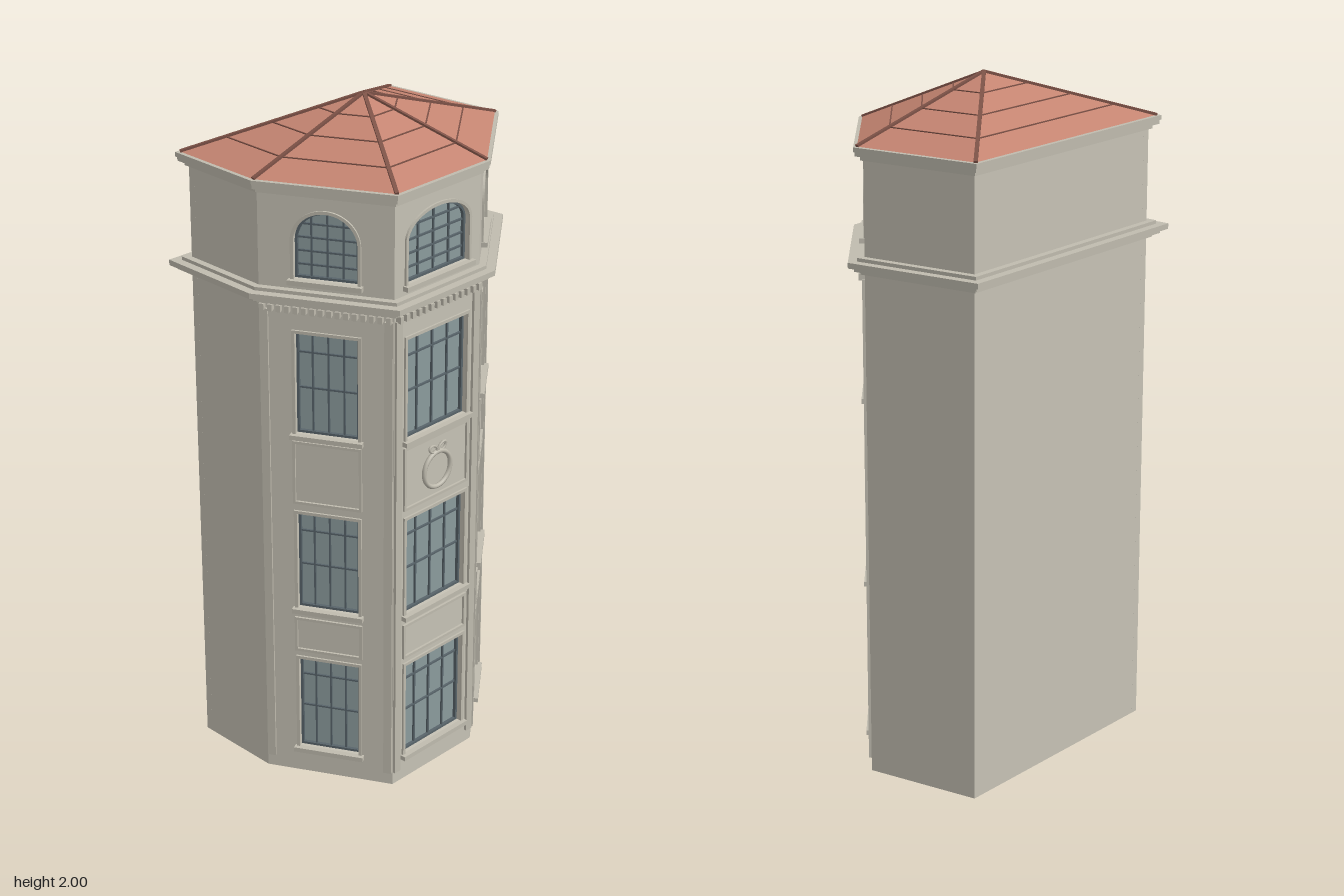
import * as THREE from 'three';

const mat = (name, color, side = THREE.FrontSide) => {
  const m = new THREE.MeshStandardMaterial({ color, side });
  m.name = name;
  return m;
};

// Wall footprint [x, z], walked left to right as seen from outside
const PLAN = [[-0.238, 0.31], [0.104, 0.31], [0.407, 0.074], [0.368, -0.274], [-0.402, -0.306], [-0.413, -0.03]];
const N = PLAN.length;
const APEX = new THREE.Vector3(-0.025, 2, -0.005);

const edgeNormal = (i) => {
  const [ax, az] = PLAN[i], [bx, bz] = PLAN[(i + 1) % N];
  const l = Math.hypot(bx - ax, bz - az);
  return [-(bz - az) / l, (bx - ax) / l];
};

// Footprint grown outward by d with mitred corners
const grow = (d) => PLAN.map(([x, z], i) => {
  const a = edgeNormal((i + N - 1) % N), b = edgeNormal(i);
  const k = d / (1 + a[0] * b[0] + a[1] * b[1]);
  return [x + (a[0] + b[0]) * k, z + (a[1] + b[1]) * k];
});

// Rectangle with an optional elliptical arch on top
function outline(w, y0, y1, rise = 0, pad = 0, Type = THREE.Shape) {
  const h = w / 2 + pad, s = new Type();
  s.moveTo(-h, y0 - pad);
  s.lineTo(h, y0 - pad);
  if (rise) {
    s.lineTo(h, y1 - rise);
    s.absellipse(0, y1 - rise, h, rise + pad, 0, Math.PI, false);
  } else {
    s.lineTo(h, y1 + pad);
    s.lineTo(-h, y1 + pad);
  }
  s.closePath();
  return s;
}

export function createModel() {
  const wall = mat('stone wall', 0xc6c2b5);
  const trim = mat('stone trim', 0xbfbbae);
  const glass = mat('window glass', 0x8b9b9d);
  const bars = mat('window bars', 0x58646a);
  const tile = mat('roof tile', 0xc48471, THREE.DoubleSide);
  const ridge = mat('roof ridge', 0x7d5247);

  const model = new THREE.Group();
  model.name = 'cornerTower';

  const add = (parent, name, geo, m, x = 0, y = 0, z = 0) => {
    const mesh = new THREE.Mesh(geo, m);
    mesh.name = name;
    mesh.position.set(x, y, z);
    parent.add(mesh);
    return mesh;
  };
  const box = (parent, name, w, h, d, m, x, y, z) => add(parent, name, new THREE.BoxGeometry(w, h, d), m, x, y, z);
  const extrude = (shape, depth) => new THREE.ExtrudeGeometry(shape, { depth, bevelEnabled: false, curveSegments: 16 });

  // Horizontal slab following the footprint
  const slab = (name, d, y0, y1, m) => {
    const s = new THREE.Shape(grow(d).map(([x, z]) => new THREE.Vector2(x, -z)));
    add(model, name, extrude(s, y1 - y0).rotateX(-Math.PI / 2), m, 0, y0, 0);
  };

  // Raised moulding around an opening or panel
  const moulding = (parent, name, w, y0, y1, rise, width, depth) => {
    const s = outline(w, y0, y1, rise, width);
    s.holes.push(outline(w, y0, y1, rise, 0, THREE.Path));
    add(parent, name, extrude(s, depth), trim);
  };

  // Glass, glazing bars, surround and sill for one opening
  const windowUnit = (parent, w, y0, y1, rise) => {
    const g = new THREE.Group();
    g.name = rise ? 'archedWindow' : 'window';
    parent.add(g);
    box(g, 'glass', w + 0.01, y1 - y0 + 0.01, 0.004, glass, 0, (y0 + y1) / 2, -0.023);
    const frame = outline(w, y0, y1, rise);
    frame.holes.push(outline(w, y0, y1, rise, -0.007, THREE.Path));
    add(g, 'frame', extrude(frame, 0.01), bars, 0, 0, -0.021);
    for (let c = 1; c < 4; c++) {
      const x = w * (c / 4 - 0.5);
      const top = y1 - rise + rise * Math.sqrt(1 - (2 * x / w) ** 2);
      box(g, 'verticalBar', 0.005, top - y0, 0.006, bars, x, (top + y0) / 2, -0.018);
    }
    for (const f of rise ? [0.2, 0.4, 0.6, 0.8] : [0.45, 0.8]) {
      const y = y0 + f * (y1 - y0);
      const t = rise ? Math.max(0, (y - y1 + rise) / rise) : 0;
      box(g, 'crossBar', w * Math.sqrt(1 - t * t), 0.005, 0.006, bars, 0, y, -0.018);
    }
    moulding(g, 'surround', w, y0, y1, rise, 0.009, 0.006);
    box(g, 'sill', w + 0.03, 0.014, 0.018, trim, 0, y0 - 0.007, 0.009);
  };

  // Walls: the three front facades (5, 0, 1) carry the decoration
  const storeys = [[0.085, 0.385], [0.555, 0.86], [1.11, 1.415]];
  PLAN.forEach(([ax, az], i) => {
    const [bx, bz] = PLAN[(i + 1) % N], [nx, nz] = edgeNormal(i);
    const len = Math.hypot(bx - ax, bz - az);
    const g = new THREE.Group();
    g.name = ['frontFacade', 'leftFacade', 'leftWall', 'backWall', 'rightWall', 'rightFacade'][i];
    g.position.set((ax + bx) / 2, 0, (az + bz) / 2);
    g.rotation.y = Math.atan2(nx, nz);
    model.add(g);

    const decorated = i < 2 || i === 5;
    const w = i === 0 ? 0.245 : 0.18;
    const rise = i === 0 ? 0.07 : 0.085;
    const shape = outline(len, 0, 1.84);
    if (decorated) {
      for (const [y0, y1] of storeys) shape.holes.push(outline(w, y0, y1, 0, 0, THREE.Path));
      shape.holes.push(outline(w, 1.575, 1.77, rise, 0, THREE.Path));
    }
    add(g, 'wall', extrude(shape, 0.022), wall, 0, 0, -0.022);
    if (!decorated) return;

    for (const [y0, y1] of storeys) windowUnit(g, w, y0, y1, 0);
    windowUnit(g, w, 1.575, 1.77, rise);

    // Framed panels between storeys
    moulding(g, 'lowerPanel', w + 0.005, 0.42, 0.515, 0, 0.008, 0.007);
    moulding(g, 'upperPanel', w + 0.005, 0.9, 1.08, 0, 0.008, 0.007);

    // Corner pilasters
    for (const s of [-1, 1]) {
      box(g, 'pilaster', 0.024, 1.44, 0.008, trim, s * (len / 2 - 0.014), 0.76, 0.004);
    }

    // Dentils under the main cornice
    const count = Math.round(len / 0.024);
    for (let k = 0; k < count; k++) {
      box(g, 'dentil', 0.013, 0.02, 0.018, trim, (k + 0.5 - count / 2) * len / count, 1.488, 0.009);
    }

    // Wreath with a ribbon bow
    if (i === 0) {
      add(g, 'wreath', new THREE.TorusGeometry(0.054, 0.007, 8, 32), trim, 0, 0.98, 0.008);
      for (const s of [-1, 1]) {
        const bow = add(g, 'ribbonLoop', new THREE.TorusGeometry(0.013, 0.004, 6, 14), trim, s * 0.018, 1.046, 0.009);
        bow.scale.set(1.3, 0.8, 1);
        bow.rotation.z = s * 0.5;
      }
    }
  });

  // Floor, stepped cornices and eaves
  slab('floor', -0.001, 0, 0.01, wall);
  slab('corniceBed', 0.012, 1.498, 1.508, trim);
  slab('corniceLower', 0.028, 1.508, 1.52, trim);
  slab('corniceUpper', 0.045, 1.52, 1.536, trim);
  slab('corniceTop', 0.02, 1.536, 1.546, trim);
  slab('eavesBed', 0.008, 1.815, 1.828, trim);
  slab('eavesLower', 0.022, 1.828, 1.84, trim);
  slab('eavesUpper', 0.026, 1.84, 1.853, trim);

  // Faceted roof
  const eave = grow(0.016).map(([x, z]) => new THREE.Vector3(x, 1.854, z));
  const pts = [];
  eave.forEach((p, i) => pts.push(p, eave[(i + 1) % N], APEX));
  const roof = new THREE.BufferGeometry().setFromPoints(pts);
  roof.computeVertexNormals();
  add(model, 'roof', roof, tile);

  // Thin strip from a to b
  const strip = (name, a, b, w, h) => {
    const m = box(model, name, w, h, a.distanceTo(b), ridge, 0, 0, 0);
    m.position.copy(a).add(b).multiplyScalar(0.5);
    m.lookAt(b);
  };
  eave.forEach((p, i) => {
    const q = eave[(i + 1) % N];
    strip('hipRidge', p, APEX, 0.011, 0.01);
    for (const t of [0.25, 0.5, 0.75]) {
      strip('tileCourse', p.clone().lerp(APEX, t), q.clone().lerp(APEX, t), 0.004, 0.004);
    }
  });
  return model;
}
